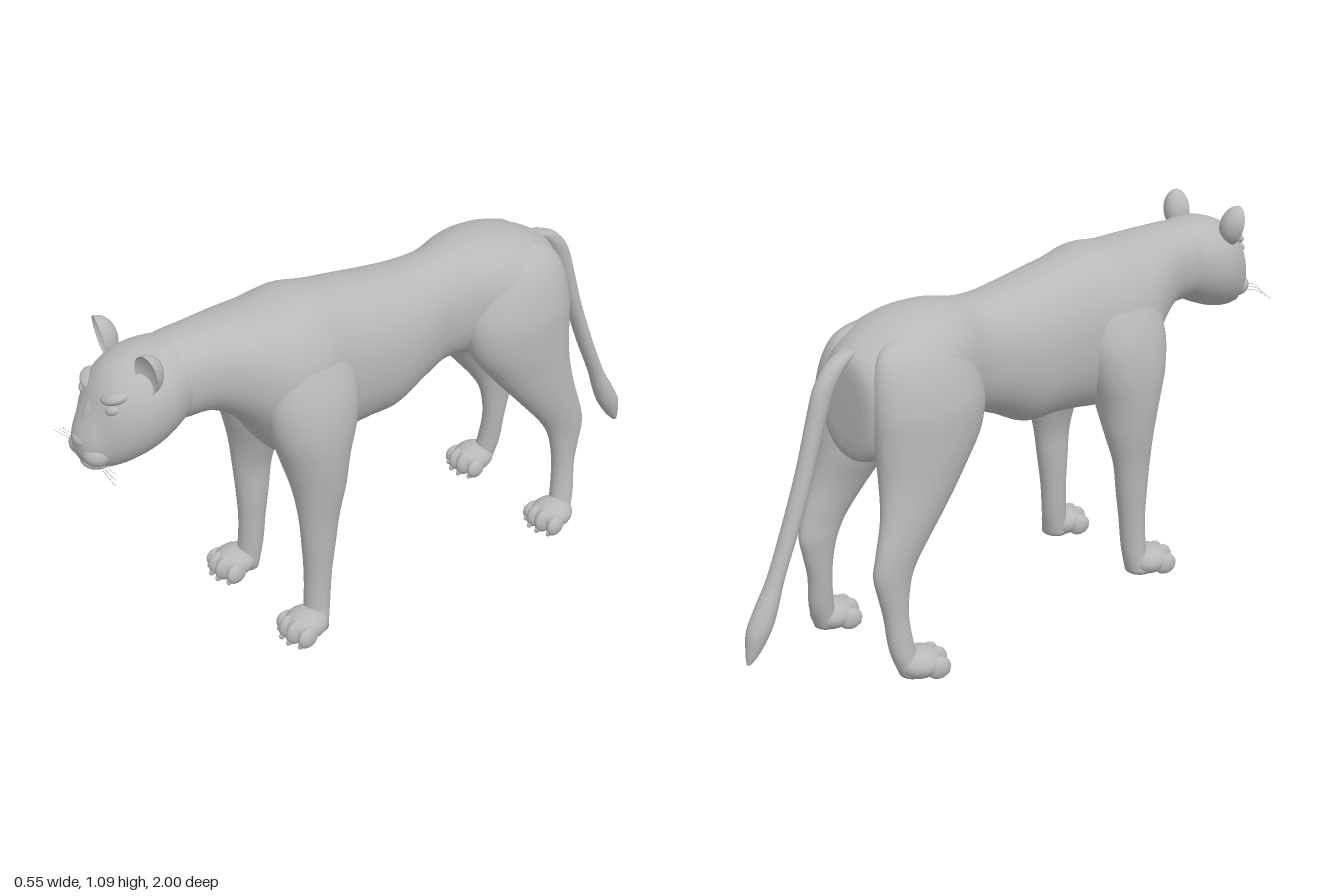
import * as THREE from 'three';

const fur = new THREE.MeshStandardMaterial({ color: 0xb8b8b8 });
fur.name = 'fur grey';

// Catmull-Rom blend of one value across four section rows
function spline(a, b, c, d, t) {
  return b + 0.5 * t * (c - a + t * (2 * a - 5 * b + 4 * c - d + t * (3 * (b - c) + d - a)));
}

// Smooth skin over sections [t, u0, u1, v0, v1].
// axis 'z': t = z (rising), u = x, v = y.  axis 'y': t = y (falling), u = x, v = z.
function loft(rows, axis, side = 1, power = 2, seg = 32, steps = 5) {
  const pos = [], idx = [], n = rows.length;
  const put = (t, u, v) => (axis === 'z' ? pos.push(u, v, t) : pos.push(u, t, v));
  const row = (i) => rows[Math.min(n - 1, Math.max(0, i))];
  const bend = (c) => Math.sign(c) * Math.pow(Math.abs(c), 2 / power);
  const rings = (n - 1) * steps + 1;
  for (let r = 0; r < rings; r++) {
    const i = Math.min(n - 2, Math.floor(r / steps)), f = r / steps - i;
    const [t, u0, u1, v0, v1] = row(i).map((b, k) => spline(row(i - 1)[k], b, row(i + 1)[k], row(i + 2)[k], f));
    for (let j = 0; j < seg; j++) {
      const a = (j / seg) * Math.PI * 2;
      put(t, side * (u0 + u1) / 2 + bend(Math.cos(a)) * (u1 - u0) / 2, (v0 + v1) / 2 + bend(Math.sin(a)) * (v1 - v0) / 2);
    }
  }
  for (let r = 0; r < rings - 1; r++) {
    for (let j = 0; j < seg; j++) {
      const a = r * seg + j, b = r * seg + (j + 1) % seg;
      idx.push(a, b, a + seg, b, b + seg, a + seg);
    }
  }
  // End caps
  const first = pos.length / 3, last = (rings - 1) * seg;
  for (const [t, u0, u1, v0, v1] of [rows[0], rows[n - 1]]) put(t, side * (u0 + u1) / 2, (v0 + v1) / 2);
  for (let j = 0; j < seg; j++) {
    const k = (j + 1) % seg;
    idx.push(first, k, j, first + 1, last + j, last + k);
  }
  const g = new THREE.BufferGeometry();
  g.setAttribute('position', new THREE.Float32BufferAttribute(pos, 3));
  g.setIndex(idx);
  g.computeVertexNormals();
  return g;
}

export function createModel() {
  const model = new THREE.Group();
  model.name = 'bigCat';

  const add = (name, geometry, parent = model) => {
    const m = new THREE.Mesh(geometry, fur);
    m.name = name;
    parent.add(m);
    return m;
  };
  const blob = (name, p, s, parent = model, rot = [0, 0, 0]) => {
    const m = add(name, new THREE.SphereGeometry(1, 24, 16), parent);
    m.position.set(...p);
    m.scale.set(...s);
    m.rotation.set(...rot);
    return m;
  };
  // Sections symmetric about x = 0: [z, half width, bottom, top]
  const mid = (rows) => rows.map(([z, w, lo, hi]) => [z, -w, w, lo, hi]);

  // Body from rump to neck
  add('torso', loft(mid([
    [-0.63, 0.07, 0.70, 0.89], [-0.61, 0.125, 0.63, 0.95], [-0.5, 0.18, 0.62, 1.01],
    [-0.4, 0.19, 0.63, 1.03], [-0.3, 0.165, 0.66, 1.03], [-0.2, 0.135, 0.665, 1.01],
    [-0.1, 0.15, 0.63, 1.005], [0, 0.165, 0.58, 1.015], [0.1, 0.17, 0.575, 1.03],
    [0.2, 0.175, 0.565, 1.045], [0.3, 0.2, 0.555, 1.06], [0.4, 0.195, 0.58, 1.05],
    [0.5, 0.158, 0.715, 1.05], [0.6, 0.125, 0.79, 1.05], [0.7, 0.115, 0.80, 1.045],
    [0.78, 0.1, 0.82, 1.02],
  ]), 'z', 1, 2.2, 40));

  // Head
  const head = new THREE.Group();
  head.name = 'head';
  model.add(head);
  add('skull', loft(mid([
    [0.66, 0.1, 0.82, 1.03], [0.71, 0.122, 0.795, 1.045], [0.76, 0.14, 0.77, 1.047],
    [0.82, 0.143, 0.745, 1.04], [0.88, 0.126, 0.73, 1.015], [0.92, 0.103, 0.727, 0.975],
    [0.95, 0.077, 0.735, 0.92], [0.975, 0.057, 0.75, 0.875], [0.99, 0.035, 0.77, 0.845],
    [0.995, 0.012, 0.79, 0.825],
  ]), 'z', 1, 2.1, 40), head);
  blob('noseBridge', [0, 0.89, 0.935], [0.036, 0.075, 0.03], head, [-0.45, 0, 0]);
  blob('nose', [0, 0.825, 0.975], [0.036, 0.02, 0.025], head);
  blob('chin', [0, 0.748, 0.94], [0.048, 0.022, 0.042], head);

  for (const s of [1, -1]) {
    const label = s > 0 ? 'left' : 'right';
    blob(label + 'Muzzle', [s * 0.035, 0.788, 0.952], [0.042, 0.036, 0.042], head);
    blob(label + 'Brow', [s * 0.062, 0.957, 0.902], [0.042, 0.018, 0.03], head, [0, s * 0.5, s * 0.3]);
    blob(label + 'Eye', [s * 0.075, 0.93, 0.918], [0.021, 0.014, 0.014], head, [0, s * 0.6, s * 0.3]);

    // Cupped ear: the front half of a ball folded inwards
    const ear = new THREE.SphereGeometry(1, 28, 20);
    const p = ear.attributes.position;
    for (let i = 0; i < p.count; i++) {
      const z = p.getZ(i);
      if (z > 0) p.setZ(i, z * -0.45);
    }
    ear.computeVertexNormals();
    const earMesh = add(label + 'Ear', ear, head);
    earMesh.position.set(s * 0.121, 1.03, 0.835);
    earMesh.scale.set(0.044, 0.064, 0.05);
    earMesh.rotation.set(0.15, s * 0.2, s * -0.25);

    // Whiskers
    for (let k = 0; k < 3; k++) {
      const y = 0.775 + k * 0.01;
      const curve = new THREE.QuadraticBezierCurve3(
        new THREE.Vector3(s * 0.06, y, 0.96),
        new THREE.Vector3(s * 0.11, y + 0.012, 0.985),
        new THREE.Vector3(s * (0.165 - k * 0.012), 0.765 + k * 0.006, 0.975 - k * 0.01));
      add(label + 'Whisker', new THREE.TubeGeometry(curve, 8, 0.0008, 4), head);
    }

    // Front leg with shoulder
    add(label + 'FrontLeg', loft([
      [1.01, 0.07, 0.11, 0.3, 0.38], [0.98, 0.05, 0.145, 0.25, 0.43], [0.9, 0.05, 0.19, 0.2, 0.46],
      [0.8, 0.05, 0.232, 0.18, 0.475], [0.7, 0.05, 0.25, 0.195, 0.465], [0.6, 0.058, 0.25, 0.225, 0.435],
      [0.5, 0.095, 0.24, 0.245, 0.41], [0.4, 0.125, 0.226, 0.27, 0.398], [0.3, 0.13, 0.22, 0.285, 0.39],
      [0.2, 0.135, 0.215, 0.3, 0.385], [0.1, 0.14, 0.217, 0.31, 0.39], [0.02, 0.145, 0.23, 0.325, 0.4],
    ], 'y', s));

    // Hind leg with thigh and hock
    add(label + 'HindLeg', loft([
      [0.99, 0.06, 0.1, -0.5, -0.4], [0.96, 0.04, 0.15, -0.57, -0.33], [0.9, 0.03, 0.19, -0.605, -0.28],
      [0.8, 0.03, 0.222, -0.62, -0.245], [0.7, 0.035, 0.228, -0.62, -0.26], [0.6, 0.06, 0.225, -0.62, -0.33],
      [0.5, 0.1, 0.22, -0.635, -0.415], [0.4, 0.125, 0.212, -0.665, -0.5], [0.34, 0.13, 0.207, -0.676, -0.54],
      [0.28, 0.135, 0.205, -0.664, -0.56], [0.2, 0.14, 0.207, -0.646, -0.57],
      [0.1, 0.15, 0.22, -0.637, -0.56], [0.02, 0.16, 0.235, -0.61, -0.54],
    ], 'y', s));

    // Paws, each with four toes
    for (const [name, x, z] of [['FrontPaw', 0.192, 0.4], ['HindPaw', 0.2, -0.548]]) {
      const paw = new THREE.Group();
      paw.name = label + name;
      paw.position.set(s * x, 0, z);
      model.add(paw);
      blob('pad', [0, 0.05, 0], [0.064, 0.046, 0.068], paw);
      for (let t = 0; t < 4; t++) {
        const o = t - 1.5, inner = Math.abs(o) < 1;
        blob('toe', [o * 0.034, inner ? 0.045 : 0.038, inner ? 0.045 : 0.028],
          [0.021, inner ? 0.04 : 0.034, 0.038], paw, [0, o * 0.15, 0]);
        blob('claw', [o * 0.036, 0.02, inner ? 0.073 : 0.056], [0.006, 0.012, 0.011], paw);
      }
    }
  }

  // Tail with tuft: [y, z, half width, half depth]
  add('tail', loft([
    [0.955, -0.6, 0.024, 0.03], [0.93, -0.645, 0.028, 0.036], [0.87, -0.695, 0.028, 0.034],
    [0.78, -0.73, 0.027, 0.029], [0.65, -0.772, 0.027, 0.026], [0.5, -0.828, 0.027, 0.026],
    [0.36, -0.888, 0.026, 0.026], [0.28, -0.925, 0.032, 0.035], [0.22, -0.953, 0.033, 0.038],
    [0.16, -0.977, 0.02, 0.022], [0.128, -0.993, 0.006, 0.007],
  ].map(([y, z, a, b]) => [y, -a, a, z - b, z + b]), 'y', 1, 2, 20));

  return model;
}
